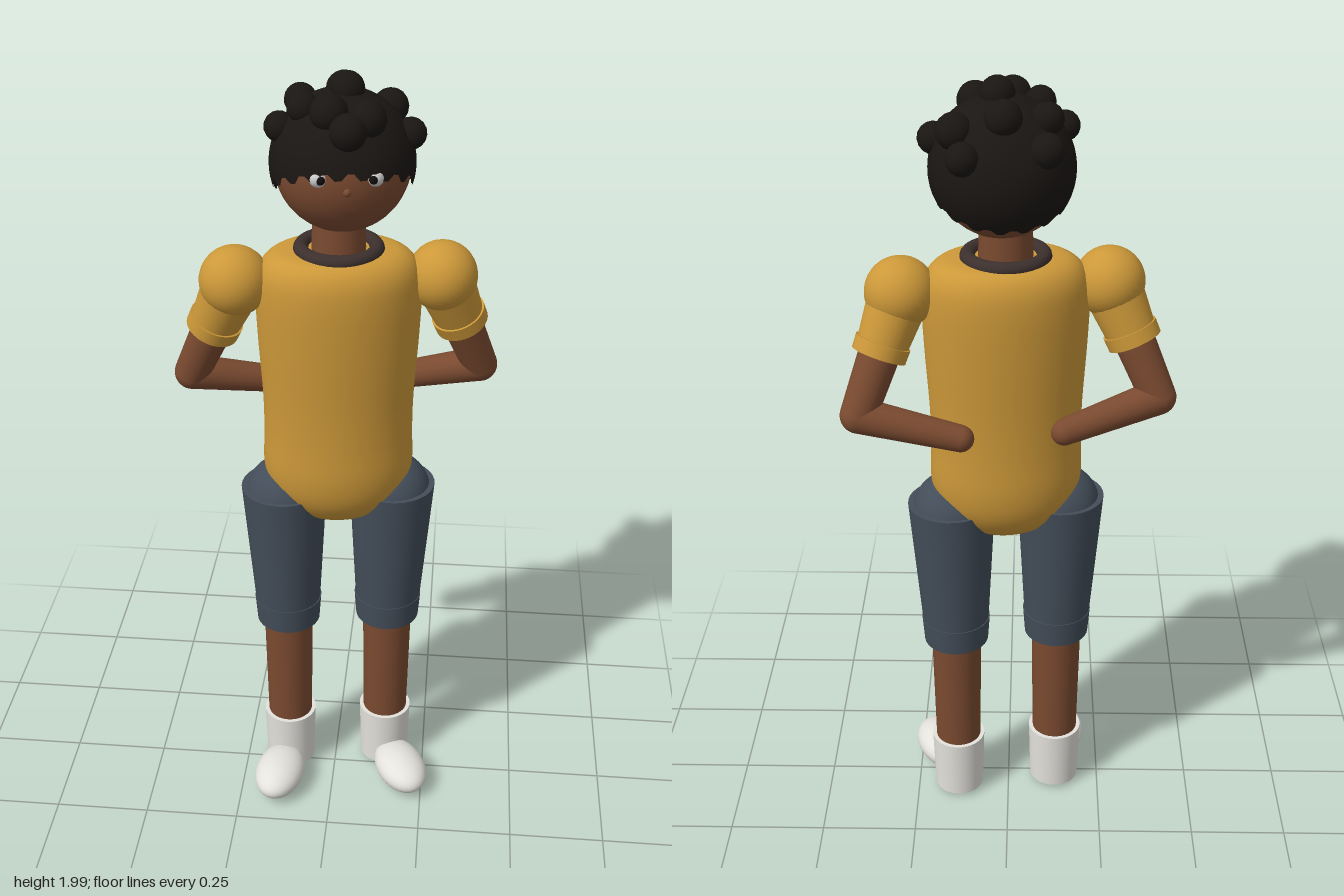
import * as THREE from 'three';

const mat = (color) => new THREE.MeshStandardMaterial({ color, side: THREE.DoubleSide });
const V = (x, y, z) => new THREE.Vector3(x, y, z);

export function createModel() {
  const model = new THREE.Group();
  const skin = mat(0x7a4a30), shirt = mat(0xcc9839), denim = mat(0x434d59);
  const hair = mat(0x1a1613), shoe = mat(0xe4e2dc), trim = mat(0x3c302d);
  const white = mat(0xf0f0f0), dark = mat(0x120d0a);

  // The whole figure is turned slightly about the vertical axis
  const body = new THREE.Group();
  body.name = 'figure';
  body.position.set(0.005, 0, -0.035);
  body.rotation.y = 0.15;
  model.add(body);

  const add = (name, geometry, material, pos = V(0, 0, 0), parent = body) => {
    const mesh = new THREE.Mesh(geometry, material);
    mesh.name = name;
    mesh.position.copy(pos);
    parent.add(mesh);
    return mesh;
  };
  const ball = (name, r, material, pos, parent) =>
    add(name, new THREE.SphereGeometry(r, 32, 20), material, pos, parent);
  // Tapered cylinder from a (radius ra) to b (radius rb)
  const limb = (name, a, b, ra, rb, material) => {
    const d = b.clone().sub(a);
    const mesh = add(name, new THREE.CylinderGeometry(rb, ra, d.length(), 32), material,
      a.clone().add(b).multiplyScalar(0.5));
    mesh.quaternion.setFromUnitVectors(V(0, 1, 0), d.normalize());
    return mesh;
  };

  // Torso: an oval lathe, rounded at the shoulders and hips
  const profile = new THREE.SplineCurve([
    [0.001, 0.845], [0.07, 0.85], [0.125, 0.877], [0.17, 0.93], [0.188, 1.0], [0.186, 1.1],
    [0.187, 1.2], [0.196, 1.36], [0.199, 1.48], [0.188, 1.54], [0.155, 1.573], [0.1, 1.58], [0.001, 1.58],
  ].map(([x, y]) => new THREE.Vector2(x, y))).getPoints(60);
  add('torso', new THREE.LatheGeometry(profile, 48), shirt).scale.z = 0.74;

  // Neck and collar
  limb('neck', V(0, 1.56, 0), V(0, 1.67, 0), 0.065, 0.062, skin);
  add('collar', new THREE.TorusGeometry(0.09, 0.018, 14, 40), trim, V(0, 1.58, 0)).rotation.x = Math.PI / 2;

  // Head with a small face
  const head = new THREE.Group();
  head.name = 'head';
  head.position.set(0.008, 1.79, 0);
  body.add(head);
  ball('skull', 0.158, skin, V(0, 0, 0), head);
  ball('nose', 0.009, skin, V(0, -0.015, 0.158), head);
  for (const s of [-1, 1]) {
    ball('eye', 0.02, white, V(s * 0.063, 0.012, 0.138), head);
    ball('pupil', 0.011, dark, V(s * 0.059, 0.012, 0.15), head);
  }

  // Hair cap: part of a sphere tilted back, with a toothed rim
  const R = 0.168, cols = 72, rows = 20, rim = 1.85;
  const capGeo = new THREE.SphereGeometry(R, cols, rows, 0, Math.PI * 2, 0, rim);
  const p = capGeo.attributes.position;
  for (let i = 0; i <= cols; i++) {
    const theta = rim + (i % 4 < 2 ? 0.05 : -0.04);
    const phi = (i / cols) * Math.PI * 2;
    p.setXYZ(rows * (cols + 1) + i, -R * Math.cos(phi) * Math.sin(theta),
      R * Math.cos(theta), R * Math.sin(phi) * Math.sin(theta));
  }
  add('hairCap', capGeo, hair, V(0, 0, 0), head).rotation.x = -0.42;

  // Curls: x and z over the crown, height follows the skull
  const curls = new THREE.Group();
  curls.name = 'curls';
  curls.rotation.y = -0.15;
  head.add(curls);
  for (const [x, z, r] of [
    [-0.1, -0.113, 0.04], [0.083, -0.133, 0.038], [-0.005, -0.095, 0.042], [-0.1, -0.05, 0.038],
    [0.103, -0.08, 0.042], [-0.14, 0.03, 0.035], [0.01, -0.002, 0.04], [0.153, -0.005, 0.037],
    [-0.023, 0.088, 0.043], [0.062, 0.088, 0.043], [0.022, 0.125, 0.042], [-0.085, 0.045, 0.036],
  ]) {
    const y = Math.sqrt(Math.max(0.003, R * R - x * x - z * z));
    const c = add('curl', new THREE.SphereGeometry(r, 16, 12), hair, V(x, y, z), curls);
    c.rotation.set(x * 9, z * 9, 0);
  }

  for (const s of [-1, 1]) {
    const side = s > 0 ? 'left' : 'right';

    // Arm: puffed shoulder, short sleeve with cuff, hand tucked behind the waist
    const shoulder = V(s * 0.247, 1.503, 0), elbow = V(s * 0.362, 1.225, -0.072);
    const hand = V(s * 0.125, 1.17, -0.118);
    const along = (t) => shoulder.clone().lerp(elbow, t);
    ball(side + 'Shoulder', 0.085, shirt, shoulder);
    limb(side + 'Sleeve', along(0.05), along(0.47), 0.072, 0.06, shirt);
    limb(side + 'Cuff', along(0.4), along(0.51), 0.067, 0.066, shirt);
    limb(side + 'UpperArm', along(0.3), elbow, 0.052, 0.044, skin);
    ball(side + 'Elbow', 0.044, skin, elbow);
    limb(side + 'Forearm', elbow, hand, 0.044, 0.033, skin);
    ball(side + 'Hand', 0.033, skin, hand);

    // Leg: hip, knee-length shorts with hem, shin
    const at = (y, x = 0.134) => V(s * x, y, 0);
    ball(side + 'Hip', 0.105, denim, at(0.9));
    limb(side + 'ShortsLeg', at(0.93, 0.139), at(0.54), 0.11, 0.084, denim);
    limb(side + 'ShortsHem', at(0.58), at(0.51), 0.089, 0.084, denim);
    limb(side + 'Shin', at(0.56), at(0.16), 0.066, 0.06, skin);

    // Shoe: ankle shaft and flattened toe turned outward
    limb(side + 'ShoeShaft', at(0.185), at(0.015), 0.071, 0.066, shoe);
    const foot = new THREE.Group();
    foot.name = side + 'Foot';
    foot.position.copy(at(0.052));
    foot.rotation.y = s * 0.29;
    body.add(foot);
    ball('toe', 1, shoe, V(0, 0, 0.125), foot).scale.set(0.067, 0.048, 0.103);
  }
  return model;
}
